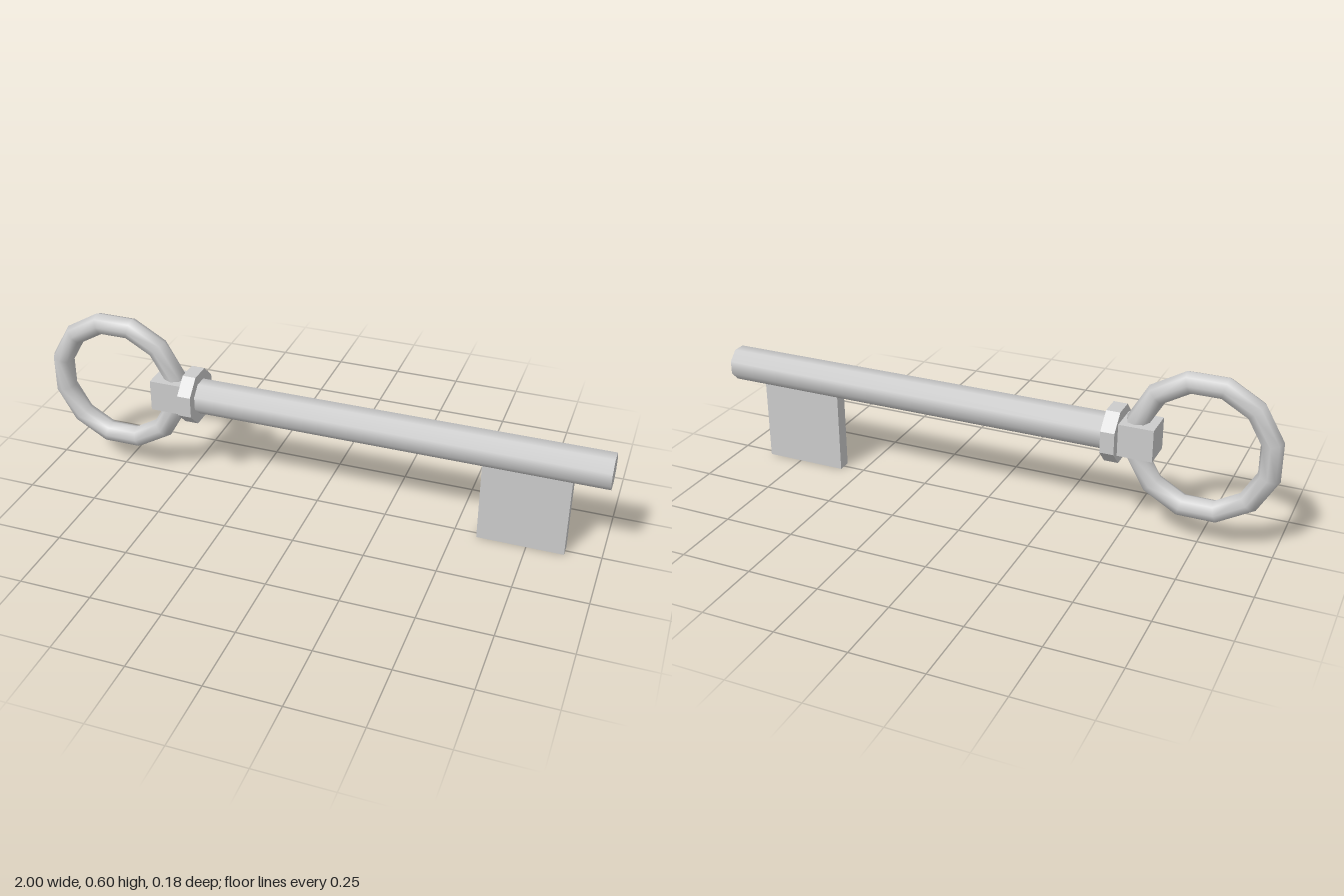
import * as THREE from 'three';

const AXIS_Y = 0.344; // height of the shaft's centre line

export function createModel() {
  const key = new THREE.Group();
  key.name = 'key';

  const add = (name, geometry, x, y, flatShading = false) => {
    const material = new THREE.MeshStandardMaterial({ color: 0xcccccc, flatShading });
    const mesh = new THREE.Mesh(geometry, material);
    mesh.name = name;
    mesh.position.set(x, y, 0);
    key.add(mesh);
  };

  // Octagonal bar lying along x, with flats on top and bottom
  const octagonBar = (apothem, length) => {
    const radius = apothem / Math.cos(Math.PI / 8);
    return new THREE.CylinderGeometry(radius, radius, length, 8, 1, false, Math.PI / 8)
      .rotateZ(-Math.PI / 2);
  };

  // Ring handle: twelve segments, flats at top, bottom and sides
  add('ringHandle', new THREE.TorusGeometry(0.226, 0.038, 8, 12).rotateZ(Math.PI / 12), -0.745, 0.345);

  // Square block gripping the ring
  add('ringBlock', new THREE.BoxGeometry(0.12, 0.112, 0.112), -0.537, AXIS_Y, true);

  // Collar between block and shaft
  add('collar', octagonBar(0.091, 0.048), -0.454, AXIS_Y, true);

  // Long round shaft
  add('shaft', octagonBar(0.057, 1.43), 0.285, AXIS_Y);

  // Flat plate hanging below the shaft
  add('bit', new THREE.BoxGeometry(0.298, 0.288, 0.048), 0.729, 0.144, true);

  return key;
}
